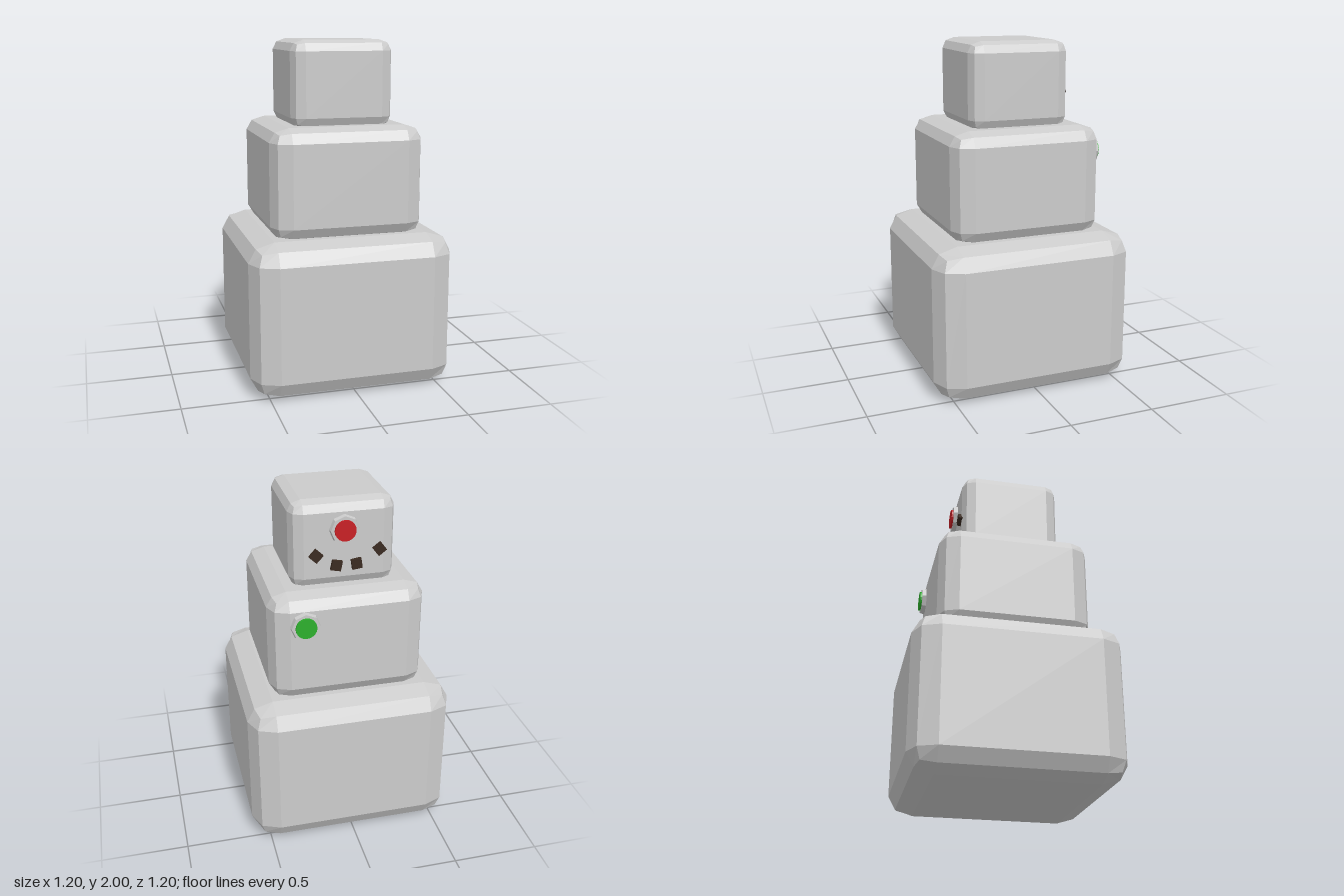
import * as THREE from 'three';
import { RoundedBoxGeometry } from 'three/addons/geometries/RoundedBoxGeometry.js';

const material = (color) => new THREE.MeshStandardMaterial({ color, flatShading: true });
const grey = material(0xcccccc);
const red = material(0xc81e24);
const green = material(0x2db02d);
const brown = material(0x3a2a20);

function addMesh(parent, name, geometry, mat, x = 0, y = 0, z = 0) {
  const mesh = new THREE.Mesh(geometry, mat);
  mesh.name = name;
  mesh.position.set(x, y, z);
  parent.add(mesh);
  return mesh;
}

// Bevelled cube squashed in height, with its underside at y = bottom
function addBlock(parent, name, width, bottom, top) {
  const height = top - bottom;
  const geometry = new RoundedBoxGeometry(width, width, width, 1, width / 8);
  geometry.scale(1, height / width, 1);
  addMesh(parent, name, geometry, grey, 0, bottom + height / 2, 0);
}

// Octagonal rim with a raised coloured disc, facing -z from the surface at z
function addButton(parent, name, mat, x, y, z) {
  const button = new THREE.Group();
  button.name = name;
  button.position.set(x, y, z);
  const rim = new THREE.CylinderGeometry(0.08, 0.087, 0.035, 8).rotateX(-Math.PI / 2);
  const disc = new THREE.CylinderGeometry(0.06, 0.06, 0.03, 20).rotateX(-Math.PI / 2);
  addMesh(button, name + 'Rim', rim, grey, 0, 0, -0.008);
  addMesh(button, name + 'Disc', disc, mat, 0, 0, -0.022);
  parent.add(button);
}

export function createModel() {
  const model = new THREE.Group();
  model.name = 'blockSnowman';

  // Stacked body
  addBlock(model, 'base', 1.2, 0, 0.9);
  addBlock(model, 'torso', 0.9, 0.88, 1.52);
  addBlock(model, 'head', 0.6, 1.5, 2);

  // Nose and chest button
  addButton(model, 'nose', red, 0, 1.84, -0.3);
  addButton(model, 'chestButton', green, 0.255, 1.355, -0.45);

  // Coal mouth: x, y, turn
  const coals = [
    [0.16, 1.70, 0.75],
    [0.045, 1.635, 0.2],
    [-0.07, 1.635, -0.15],
    [-0.2, 1.71, -0.65],
  ];
  coals.forEach(([x, y, turn], i) => {
    const coal = addMesh(model, 'mouthCoal' + (i + 1), new THREE.BoxGeometry(0.058, 0.058, 0.04), brown, x, y, -0.3);
    coal.rotation.z = turn;
  });

  return model;
}
